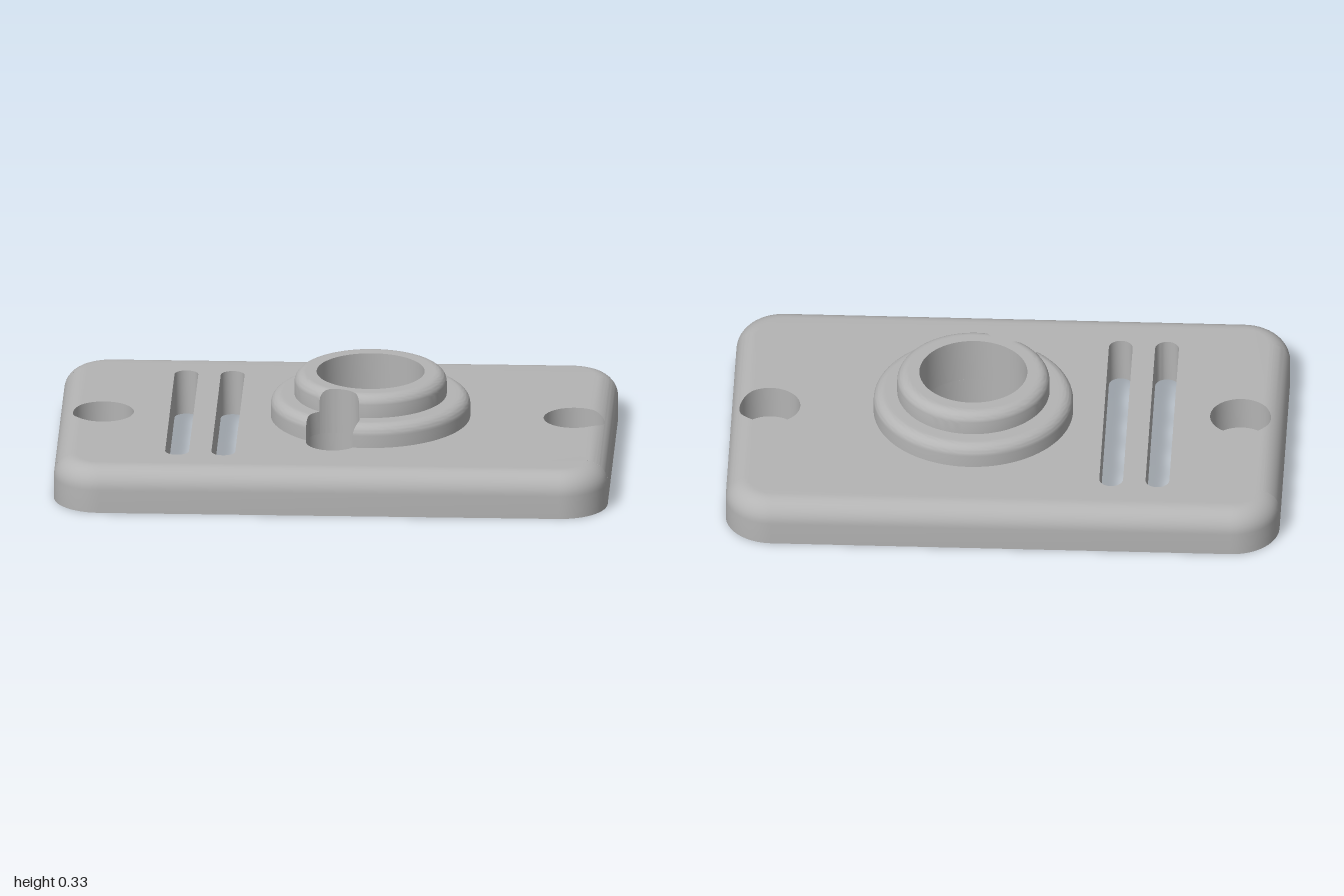
import * as THREE from 'three';
import { mergeGeometries, toCreasedNormals } from 'three/addons/utils/BufferGeometryUtils.js';

const V3 = (x, y, z) => new THREE.Vector3(x, y, z);
const TAU = Math.PI * 2;

// Plate sizes
const HX = 1, HZ = 0.635, TOP = 0.165, CORNER = 0.17, FILLET = 0.08;
const EDGE = HX - FILLET, SHOULDER = TOP - FILLET, CZ = HZ - CORNER;
// Boss, bore and the round notch that cuts through the boss wall
const BOSS_X = 0.125, BORE = 0.195;
const NOTCH_Z = 0.295, NOTCH_R = 0.097;
const NOTCH_D = Math.hypot(BOSS_X, NOTCH_Z), NOTCH_DIR = Math.atan2(NOTCH_Z, -BOSS_X);
// Counterbored screw holes
const SCREW_R = 0.06, CBORE_R = 0.11, CBORE_Y = 0.04;
const screws = [{ s: 1, x: 0.86 }, { s: -1, x: 0.84 }];

const range = (a, b, n) => Array.from({ length: n + 1 }, (_, i) => a + (b - a) * i / n);
const arc = (cx, cz, r, a, b, n) =>
  range(a, b, n).map(t => new THREE.Vector2(cx + r * Math.cos(t), cz + r * Math.sin(t)));

// Surface through rows of points
function sheet(rows) {
  const pos = [], put = (...p) => p.forEach(v => pos.push(v.x, v.y, v.z));
  for (let i = 0; i + 1 < rows.length; i++)
    for (let j = 0; j + 1 < rows[i].length; j++) {
      const a = rows[i][j], b = rows[i + 1][j], c = rows[i + 1][j + 1], d = rows[i][j + 1];
      put(a, b, c, a, c, d);
    }
  return new THREE.BufferGeometry().setAttribute('position', new THREE.Float32BufferAttribute(pos, 3));
}

// Inward-facing wall of an opening; the top may follow a height rule
const wall = (pts, y0, y1) => sheet([
  pts.map(p => V3(p.x, typeof y1 === 'function' ? y1(p.x) : y1, p.y)),
  pts.map(p => V3(p.x, y0, p.y))]);

// Flat face with openings
function flat(outline, holes, y, up) {
  const shape = new THREE.Shape(outline);
  shape.holes = holes.map(h => new THREE.Path(h));
  const g = new THREE.ShapeGeometry(shape).rotateX(Math.PI / 2).translate(0, y, 0);
  if (up) g.index.array.reverse();
  return g;
}

function part(name, geometries, material) {
  const clean = geometries.map(g => {
    const n = g.index ? g.toNonIndexed() : g;
    return new THREE.BufferGeometry().setAttribute('position', n.attributes.position);
  });
  const mesh = new THREE.Mesh(toCreasedNormals(mergeGeometries(clean), 0.6), material);
  mesh.name = name;
  return mesh;
}

// Half of the rounded outline: two corners and the long edge between them
const halfOutline = (inset, start) => {
  const r = CORNER - inset, cx = HX - CORNER, d = start ? -1 : 1, q = Math.PI / 2;
  return [...arc(d * cx, d * CZ, r, start, start + q, 12),
    ...arc(-d * cx, d * CZ, r, start + q, start + 2 * q, 12)];
};
const filletY = x => SHOULDER + Math.sqrt(Math.max(0, FILLET ** 2 - Math.max(0, Math.abs(x) - EDGE) ** 2));

function buildPlate(material) {
  const geos = [];
  const profile = [[0, 0], ...range(0, Math.PI / 2, 10).map(t =>
    [FILLET * (1 - Math.cos(t)), SHOULDER + FILLET * Math.sin(t)])];

  // Corners and long edges
  for (const start of [0, Math.PI])
    geos.push(sheet(profile.map(([inset, y]) => halfOutline(inset, start).map(p => V3(p.x, y, p.y)))));

  // Short edges, whose rounding is broken by the counterbores
  const notchArc = [];
  for (const { s, x } of screws) {
    const a0 = Math.acos((EDGE - x) / CBORE_R);
    const tip = Math.acos((x + CBORE_R - EDGE) / FILLET);
    const rows = [[HX, 0, 0],
      ...range(0, tip, 8).map(t => [EDGE + FILLET * Math.cos(t), SHOULDER + FILLET * Math.sin(t), 0]),
      ...range(0, a0, 10).slice(1).map(a => {
        const px = x + CBORE_R * Math.cos(a);
        return [px, filletY(px), CBORE_R * Math.sin(a)];
      })];
    for (const t of [1, -1])
      geos.push(sheet(rows.map(([px, y, w]) => {
        const row = [V3(s * px, y, t * w), V3(s * px, y, t * CZ)];
        return s * t > 0 ? row : row.reverse();
      })));

    // Counterbore wall, its floor and the screw hole
    const turn = s > 0 ? 0 : Math.PI, cx = s * x;
    const inner = arc(cx, 0, CBORE_R, turn + a0, turn + TAU - a0, 44);
    const outer = arc(cx, 0, CBORE_R, turn - a0, turn + a0, 20);
    geos.push(wall(inner, CBORE_Y, TOP), wall(outer, CBORE_Y, filletY));
    const hole = arc(cx, 0, SCREW_R, 0, TAU, 40);
    geos.push(wall(hole, 0, CBORE_Y));
    geos.push(new THREE.RingGeometry(SCREW_R, CBORE_R, 48).rotateX(-Math.PI / 2).translate(cx, CBORE_Y, 0));
    notchArc.push(inner.reverse());
  }

  // Slots, bore and notch pass straight through
  const slots = [-0.557, -0.39].map(x => [
    ...arc(x, 0.417, 0.043, 0, Math.PI, 14), ...arc(x, -0.417, 0.043, Math.PI, TAU, 14)]);
  const bore = arc(BOSS_X, 0, BORE, 0, TAU, 72);
  const notch = arc(0, NOTCH_Z, NOTCH_R, 0, TAU, 48);
  const through = [...slots, bore, notch];
  through.forEach(h => geos.push(wall([...h, h[0]], 0, TOP)));

  // Top and underside
  const topOutline = [...halfOutline(FILLET, 0), ...notchArc[1],
    ...halfOutline(FILLET, Math.PI), ...notchArc[0]];
  geos.push(flat(topOutline, through, TOP, true));
  const baseOutline = [...halfOutline(0, 0), ...halfOutline(0, Math.PI)];
  geos.push(flat(baseOutline, [...through, ...screws.map(({ s, x }) =>
    arc(s * x, 0, SCREW_R, 0, TAU, 40))], 0, false));
  return part('basePlate', geos, material);
}

function buildBoss(material) {
  const round = (r, y) => range(0, Math.PI / 2, 10).map(t =>
    [r + 0.04 * Math.cos(t), y + 0.04 * Math.sin(t)]);
  const near = NOTCH_D - NOTCH_R;
  // Stepped profile from the outer foot over both tiers to the bore
  const outer = [[0.36, TOP], ...round(0.32, 0.21), [0.305, 0.25], [0.29, 0.25], [0.275, 0.25],
    ...round(0.235, 0.293), ...[0.6, 0.3, 0.1, 0].map(k => [near + (0.235 - near) * k, 0.333])];
  const profile = [...outer, [BORE, 0.333], [BORE, TOP]];

  // Half angle removed by the notch at a given radius
  const gap = r => r <= near + 1e-6 ? 0 :
    Math.acos(Math.min(1, (r * r + NOTCH_D ** 2 - NOTCH_R ** 2) / (2 * r * NOTCH_D)));
  const at = (r, y, a) => V3(BOSS_X + r * Math.cos(NOTCH_DIR + a), y, r * Math.sin(NOTCH_DIR + a));

  const geos = [sheet(profile.map(([r, y]) =>
    range(gap(r), TAU - gap(r), 80).map(a => at(r, y, a))))];
  // Curved notch walls
  for (const s of [1, -1]) {
    const cols = s > 0 ? [...outer].reverse() : outer;
    geos.push(sheet([cols.map(([r]) => at(r, TOP, s * gap(r))),
      cols.map(([r, y]) => at(r, y, s * gap(r)))]));
  }
  return part('steppedBoss', geos, material);
}

export function createModel() {
  const grey = new THREE.MeshStandardMaterial({ color: 0xb4b4b4, side: THREE.DoubleSide });
  grey.name = 'grey';
  const model = new THREE.Group();
  model.name = 'mountingPlate';
  model.add(buildPlate(grey), buildBoss(grey));
  return model;
}
